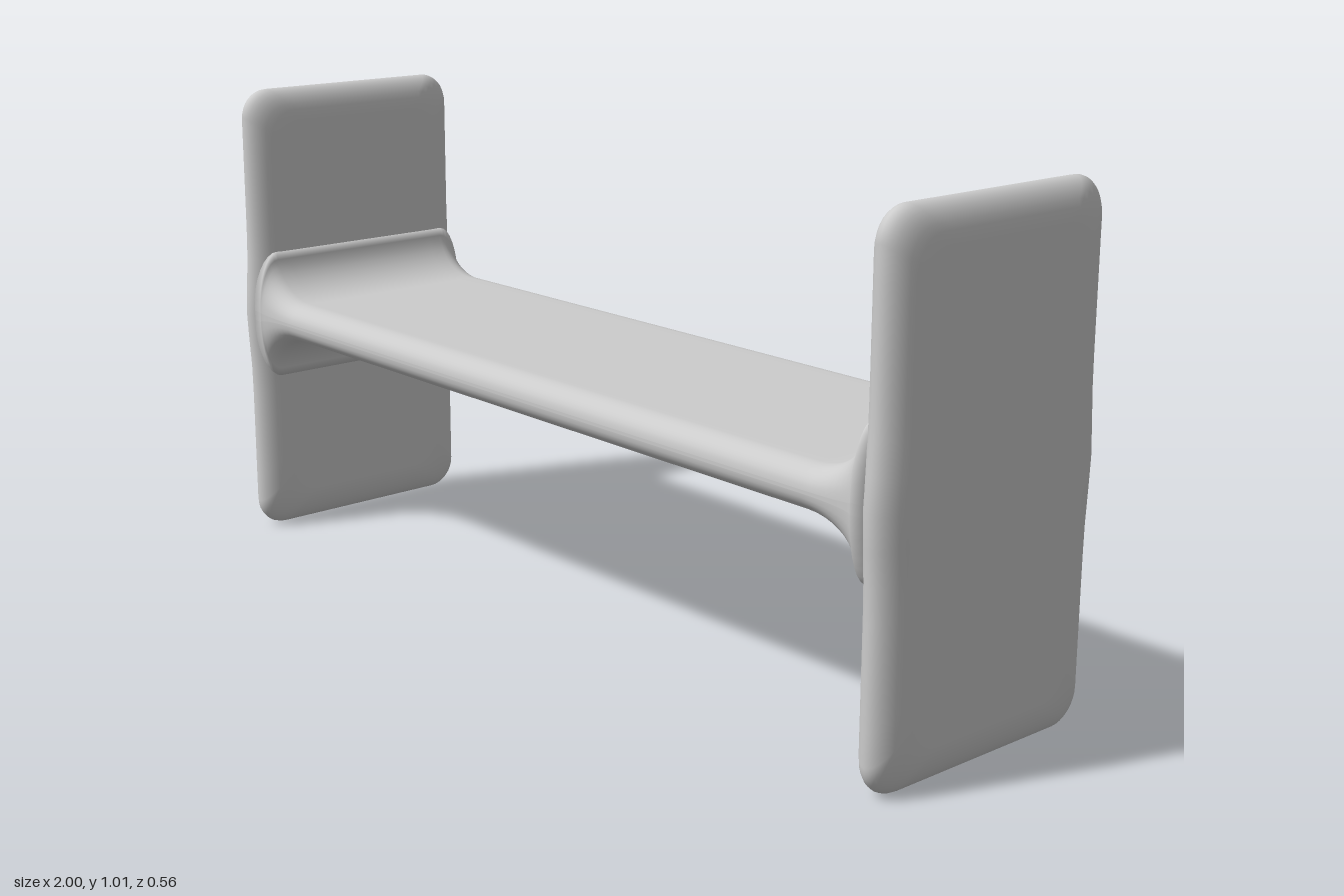
import * as THREE from 'three';

const MID_Y = 0.506;

// Rounded-rectangle loop in the yz plane, turning from +y towards +z
function ring(x, hy, hz, ry, rz, bulge = 0) {
  const pts = [];
  const steps = 8, straight = 14;
  const corners = [[1, 1], [-1, 1], [-1, -1], [1, -1]];
  const corner = (k, i) => {
    const a = (k + i / steps) * Math.PI / 2;
    const [sy, sz] = corners[k % 4];
    return [sy * (hy - ry) + ry * Math.cos(a), sz * (hz - rz) + rz * Math.sin(a)];
  };
  for (let k = 0; k < 4; k++) {
    for (let i = 0; i <= steps; i++) pts.push(corner(k, i));
    const p = corner(k, steps), q = corner((k + 1) % 4, 0);
    for (let i = 1; i < straight; i++) {
      const t = i / straight;
      pts.push([p[0] + (q[0] - p[0]) * t, p[1] + (q[1] - p[1]) * t]);
    }
  }
  return pts.map(([y, z]) =>
    new THREE.Vector3(x, y + MID_Y, z * (1 + bulge * Math.exp(-((y / 0.09) ** 2)))));
}

// Skin a row of loops ordered along +x and close both ends
function loft(rings) {
  const n = rings[0].length, last = rings.length - 1;
  const pos = [], idx = [];
  rings.flat().forEach(p => pos.push(p.x, p.y, p.z));
  const c0 = rings.length * n, c1 = c0 + 1;
  pos.push(rings[0][0].x, MID_Y, 0, rings[last][0].x, MID_Y, 0);
  for (let j = 0; j < n; j++) {
    const k = (j + 1) % n;
    for (let i = 0; i < last; i++) {
      const a = i * n + j, b = i * n + k;
      idx.push(a, b, a + n, b, b + n, a + n);
    }
    idx.push(c0, k, j, c1, last * n + j, last * n + k);
  }
  const geo = new THREE.BufferGeometry();
  geo.setAttribute('position', new THREE.Float32BufferAttribute(pos, 3));
  geo.setIndex(idx);
  geo.computeVertexNormals();
  return geo;
}

// Upright panel with softly rounded rim, swelling slightly where the shelf joins
function panelGeometry() {
  const rings = [], steps = 16;
  for (let i = 0; i <= steps; i++) {
    const t = Math.PI * i / steps;
    const inset = 0.075 * (1 - Math.sin(t));
    rings.push(ring(-0.044 * Math.cos(t), 0.505 - inset, 0.271 - inset, 0.06, 0.06, 0.033));
  }
  return loft(rings);
}

// Shelf whose ends flare into the panels with a fillet
function shelfGeometry() {
  const half = [[0, 0.043, 0.27], [0.4, 0.043, 0.27], [0.7, 0.043, 0.27]];
  for (let i = 0; i <= 9; i++) {
    const a = Math.PI / 2 * i / 9;
    const drop = 1 - Math.cos(a);
    half.push([0.79 + 0.122 * Math.sin(a), 0.043 + 0.1 * drop, 0.27 + 0.006 * drop]);
  }
  half.push([0.95, 0.143, 0.272]);
  const section = ([x, h, w]) => ring(x, h, w, h * 0.92, 0.05);
  const left = half.slice(1).reverse().map(([x, h, w]) => [-x, h, w]);
  return loft([...left, ...half].map(section));
}

export function createModel() {
  const model = new THREE.Group();
  model.name = 'bench';
  const grey = new THREE.MeshStandardMaterial({ color: 0xcccccc });
  grey.name = 'light grey';

  const panel = panelGeometry();
  for (const side of [1, -1]) {
    const mesh = new THREE.Mesh(panel, grey);
    mesh.name = side > 0 ? 'leftPanel' : 'rightPanel';
    mesh.position.x = side * 0.956;
    model.add(mesh);
  }

  const shelf = new THREE.Mesh(shelfGeometry(), grey);
  shelf.name = 'shelf';
  model.add(shelf);
  return model;
}
